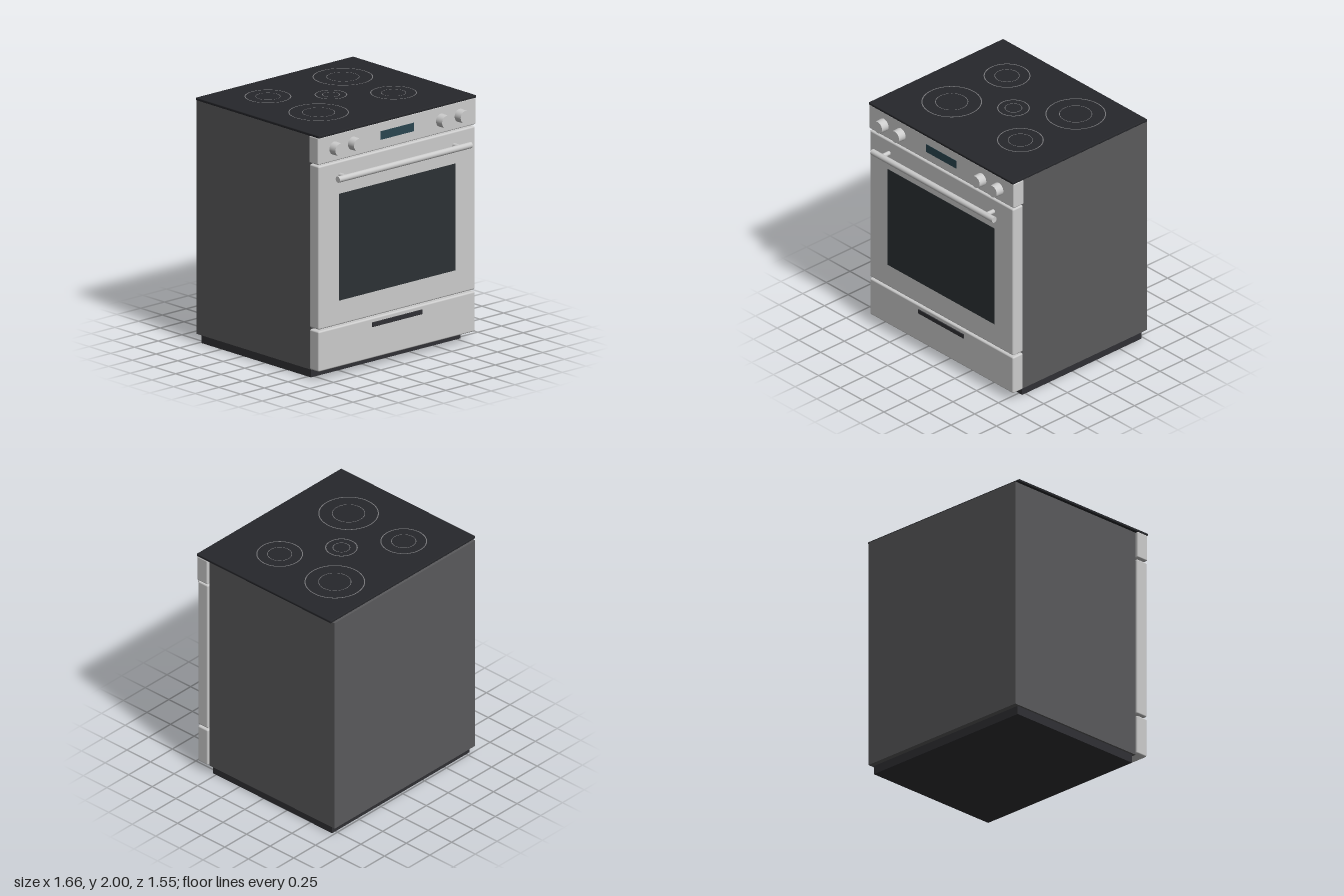
import * as THREE from 'three';
import { RoundedBoxGeometry } from 'three/addons/geometries/RoundedBoxGeometry.js';

const mat = (color) => new THREE.MeshStandardMaterial({ color });

export function createModel() {
  const model = new THREE.Group();
  const steel = mat(0xcccccc), silver = mat(0xbfc1c3), side = mat(0x5a5a5c);
  const black = mat(0x26272b), plinthMat = mat(0x303034), glass = mat(0x2c3134);
  const screen = mat(0x2a4550), ringMat = mat(0x77777a);

  const add = (parent, name, geo, material, x = 0, y = 0, z = 0) => {
    const mesh = new THREE.Mesh(geo, material);
    mesh.name = name;
    mesh.position.set(x, y, z);
    parent.add(mesh);
    return mesh;
  };
  // Box given by half width and its y and z limits; r rounds the edges
  const slab = (name, hw, y0, y1, z0, z1, material, r = 0) => {
    const size = [2 * hw, y1 - y0, z1 - z0];
    const geo = r ? new RoundedBoxGeometry(...size, 4, r) : new THREE.BoxGeometry(...size);
    return add(model, name, geo, material, 0, (y0 + y1) / 2, (z0 + z1) / 2);
  };

  // Carcass, plinth and cooktop
  slab('plinth', 0.788, 0, 0.07, -0.73, 0.533, plinthMat);
  slab('body', 0.805, 0.07, 1.978, -0.773, 0.557, side);
  slab('cooktop', 0.83, 1.977, 1.999, -0.754, 0.67, black, 0.006);

  // Front panels
  slab('drawer', 0.825, 0.078, 0.405, 0.555, 0.663, steel, 0.013);
  slab('ovenDoor', 0.825, 0.42, 1.747, 0.555, 0.663, steel, 0.013);
  slab('controlPanel', 0.832, 1.76, 1.98, 0.555, 0.663, silver, 0.01);
  slab('ovenWindow', 0.614, 0.618, 1.485, 0.65, 0.667, glass);
  slab('drawerPull', 0.263, 0.332, 0.37, 0.65, 0.67, plinthMat, 0.004);
  slab('display', 0.175, 1.836, 1.905, 0.65, 0.666, screen);

  // Door handle: bar on two posts
  const handle = new THREE.Group();
  handle.name = 'doorHandle';
  model.add(handle);
  const bar = new THREE.CylinderGeometry(0.025, 0.025, 1.4, 32).rotateZ(Math.PI / 2);
  add(handle, 'handleBar', bar, steel, 0, 1.636, 0.747);
  const post = new THREE.CylinderGeometry(0.018, 0.018, 0.095, 24).rotateX(Math.PI / 2);
  for (const x of [-0.6, 0.6]) add(handle, 'handlePost', post, steel, x, 1.636, 0.7);

  // Control knobs with pointer marks
  const knobGeo = new THREE.CylinderGeometry(0.05, 0.053, 0.07, 40).rotateX(Math.PI / 2);
  const markGeo = new THREE.BoxGeometry(0.009, 0.036, 0.006);
  for (const x of [-0.66, -0.464, 0.464, 0.66]) {
    const knob = new THREE.Group();
    knob.name = 'knob';
    knob.position.set(x, 1.867, 0.695);
    add(knob, 'knobBody', knobGeo, steel);
    add(knob, 'knobMark', markGeo, plinthMat, 0, 0.029, 0.031);
    model.add(knob);
  }

  // Burner markings: x, z, outer and inner radius
  const burners = [
    [0.395, -0.395, 0.236, 0.129], [-0.395, 0.19, 0.236, 0.129],
    [-0.395, -0.395, 0.182, 0.098], [0.395, 0.19, 0.182, 0.098],
    [0, -0.1, 0.127, 0.069],
  ];
  for (const [x, z, ...radii] of burners) {
    const burner = new THREE.Group();
    burner.name = 'burner';
    burner.position.set(x, 2, z);
    radii.forEach((r, i) => {
      const ring = new THREE.RingGeometry(r - (i ? 0.005 : 0.008), r, 72).rotateX(-Math.PI / 2);
      add(burner, i ? 'innerRing' : 'outerRing', ring, ringMat);
    });
    model.add(burner);
  }
  return model;
}
